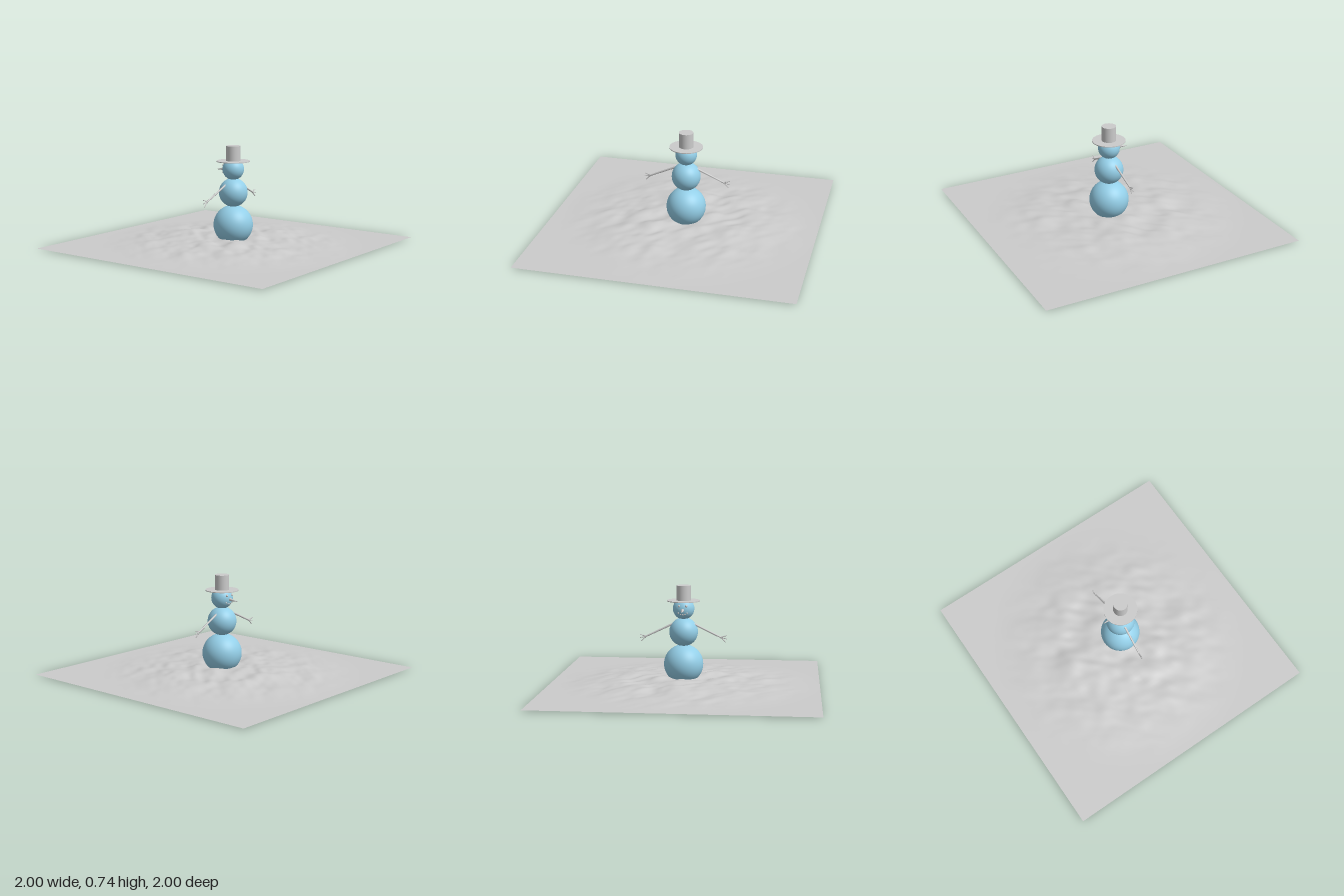
import * as THREE from 'three';

export function createModel() {
  const root = new THREE.Group();
  const grey = new THREE.MeshStandardMaterial({ color: 0xcccccc });
  const greyDouble = new THREE.MeshStandardMaterial({ color: 0xcccccc, side: THREE.DoubleSide });
  const blue = new THREE.MeshStandardMaterial({ color: 0x94cfe8 });
  const CX = 0.015, CZ = 0.03;

  function add(parent, name, geometry, material, x = 0, y = 0, z = 0) {
    const mesh = new THREE.Mesh(geometry, material);
    mesh.name = name;
    mesh.position.set(x, y, z);
    parent.add(mesh);
    return mesh;
  }

  // Tapered twig or cone between two points
  function stick(parent, name, from, to, r0, r1, sides = 8) {
    const a = new THREE.Vector3(...from), b = new THREE.Vector3(...to);
    const dir = b.clone().sub(a);
    const mesh = add(parent, name, new THREE.CylinderGeometry(r1, r0, dir.length(), sides), grey);
    mesh.position.copy(a).add(b).multiplyScalar(0.5);
    mesh.quaternion.setFromUnitVectors(new THREE.Vector3(0, 1, 0), dir.normalize());
    return mesh;
  }

  // Snow ground: a flat sheet with smooth noise that fades out at the rim
  const hash = (i, j) => {
    const s = Math.sin(i * 127.1 + j * 311.7) * 43758.5453;
    return s - Math.floor(s);
  };
  const ease = t => t * t * (3 - 2 * t);
  function noise(x, y) {
    const i = Math.floor(x), j = Math.floor(y), u = ease(x - i), v = ease(y - j);
    const lerp = THREE.MathUtils.lerp;
    return lerp(lerp(hash(i, j), hash(i + 1, j), u), lerp(hash(i, j + 1), hash(i + 1, j + 1), u), v);
  }
  const ground = new THREE.PlaneGeometry(2, 2, 90, 90).rotateX(-Math.PI / 2);
  const p = ground.attributes.position;
  for (let k = 0; k < p.count; k++) {
    const x = p.getX(k), z = p.getZ(k);
    const fade = ease(THREE.MathUtils.clamp((1 - Math.hypot(x, z)) / 0.75, 0, 1));
    // stretched along the x = -z diagonal
    const a = (x - z) * 4.5, b = (x + z) * 7;
    const n = 0.7 * noise(a + 20, b + 20) + 0.3 * noise(a * 2.1 + 50, b * 2.1 + 50);
    p.setY(k, 0.01 + fade * (0.012 + 0.05 * n));
  }
  ground.computeVertexNormals();
  add(root, 'snowGround', ground, greyDouble);

  // Three stacked snowballs
  for (const [name, r, y] of [['lowerBall', 0.147, 0.15], ['middleBall', 0.107, 0.393], ['head', 0.08, 0.567]])
    add(root, name, new THREE.SphereGeometry(r, 48, 32), blue, CX, y, CZ);

  // Top hat
  const hat = new THREE.Group();
  hat.name = 'hat';
  add(hat, 'hatBrim', new THREE.CylinderGeometry(0.123, 0.123, 0.006, 48), grey, CX, 0.626, CZ);
  add(hat, 'hatCrown', new THREE.CylinderGeometry(0.053, 0.053, 0.115, 40), grey, CX, 0.6825, CZ);
  root.add(hat);

  // Face, looking towards -z
  const face = new THREE.Group();
  face.name = 'face';
  stick(face, 'nose', [CX, 0.565, -0.035], [CX, 0.555, -0.12], 0.014, 0.001, 16);
  function coal(name, angle, y, r) {
    const ring = Math.sqrt(0.08 ** 2 - (y - 0.567) ** 2);
    add(face, name, new THREE.SphereGeometry(r, 12, 8), grey,
      CX + ring * Math.sin(angle), y, CZ - ring * Math.cos(angle));
  }
  for (const s of [-1, 1]) coal('eye', s * 0.36, 0.593, 0.009);
  for (let i = -2; i <= 2; i++) coal('mouthCoal', i * 0.22, 0.529 + 0.003 * i * i, 0.006);
  root.add(face);

  // Twig arms, each ending in a fork of fingers
  for (const s of [-1, 1]) {
    const arm = new THREE.Group();
    arm.name = s > 0 ? 'leftArm' : 'rightArm';
    const at = (x, y, z) => [CX + s * x, y, z];
    stick(arm, 'armTwig', at(0.06, 0.463, 0.018), at(0.287, 0.355, 0.004), 0.008, 0.006);
    for (const [x, y, z] of [[0.325, 0.373, 0.002], [0.326, 0.347, 0.004], [0.315, 0.323, 0.006]])
      stick(arm, 'finger', at(0.278, 0.359, 0.004), at(x, y, z), 0.005, 0.003, 6);
    root.add(arm);
  }
  return root;
}
